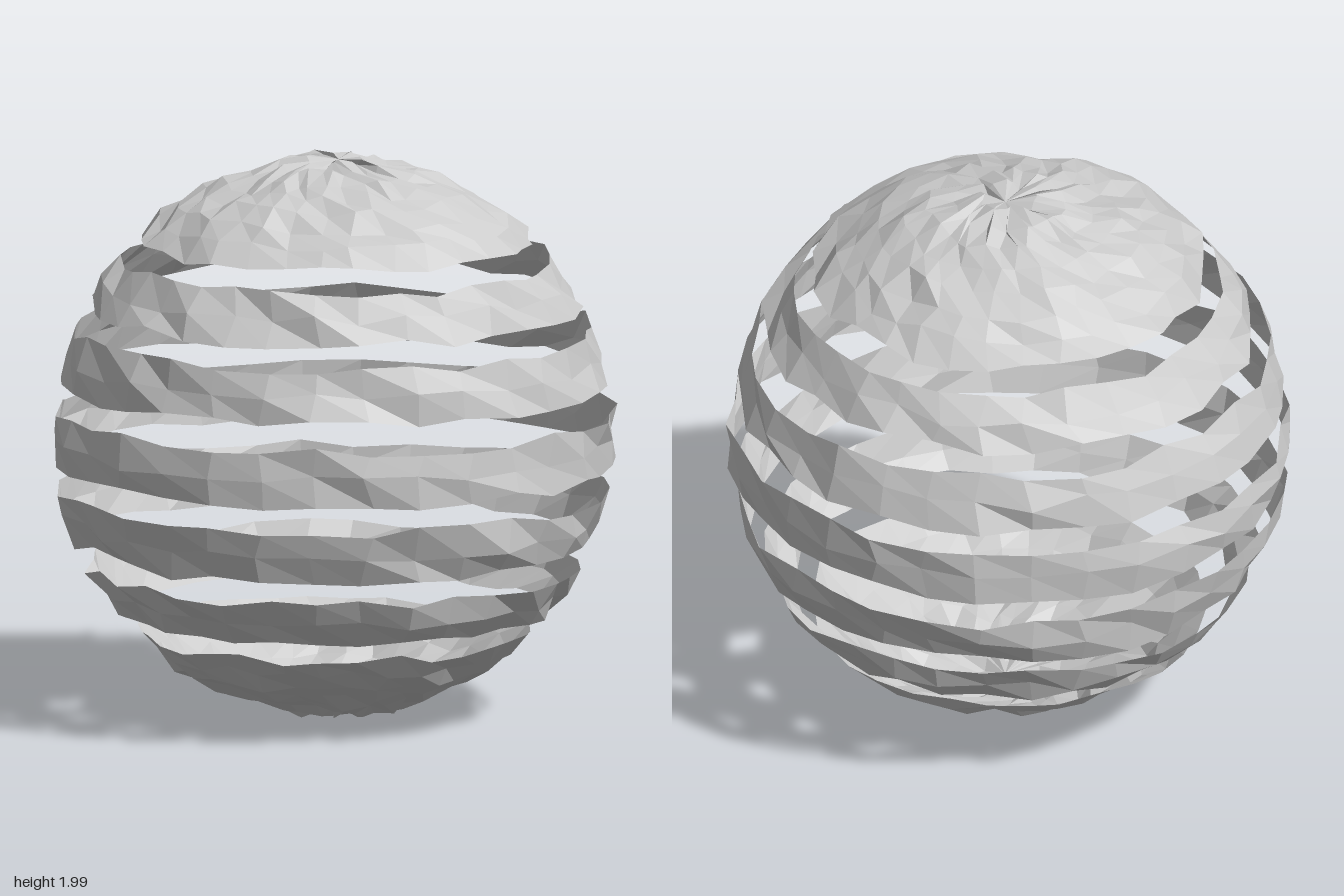
import * as THREE from 'three';

const SEGMENTS = 32; // around the axis
const ROWS = 32; // pole to pole
const RADIUS = 0.98;
const WOBBLE = 0.02;

// Repeatable value in -1..1 for a grid point and axis
function noise(row, col, axis) {
  const s = Math.sin(row * 127.1 + col * 311.7 + axis * 74.7) * 43758.5453;
  return 2 * (s - Math.floor(s)) - 1;
}

// Strip of the sphere between two rows, with every vertex nudged a little
function shell(firstRow, lastRow) {
  const step = Math.PI / ROWS;
  const geometry = new THREE.SphereGeometry(RADIUS, SEGMENTS, lastRow - firstRow,
    0, Math.PI * 2, firstRow * step, (lastRow - firstRow) * step);
  const p = geometry.attributes.position;
  for (let i = 0; i < p.count; i++) {
    const row = firstRow + Math.floor(i / (SEGMENTS + 1));
    const pole = row === 0 || row === ROWS;
    // the seam and the poles share one offset so the strip stays closed
    const col = pole ? 0 : (i % (SEGMENTS + 1)) % SEGMENTS;
    if (pole) {
      p.setXYZ(i, 0, Math.sign(p.getY(i)) * (RADIUS - 0.005), -0.03);
      continue;
    }
    p.setXYZ(i,
      p.getX(i) + WOBBLE * noise(row, col, 1),
      p.getY(i) + WOBBLE * noise(row, col, 2),
      p.getZ(i) + WOBBLE * noise(row, col, 3));
  }
  geometry.computeVertexNormals();
  return geometry;
}

export function createModel() {
  const group = new THREE.Group();
  group.name = 'slicedSphere';
  const material = new THREE.MeshStandardMaterial({
    color: 0xcccccc, flatShading: true, side: THREE.DoubleSide,
  });

  const add = (name, firstRow, lastRow) => {
    const mesh = new THREE.Mesh(shell(firstRow, lastRow), material);
    mesh.name = name;
    mesh.position.y = 1;
    group.add(mesh);
  };

  // Domed caps
  add('topCap', 0, 8);
  add('bottomCap', 24, ROWS);

  // Five bands, two rows tall, with one open row between neighbours
  for (let i = 0; i < 5; i++) add(`band${i + 1}`, 9 + 3 * i, 11 + 3 * i);

  return group;
}
